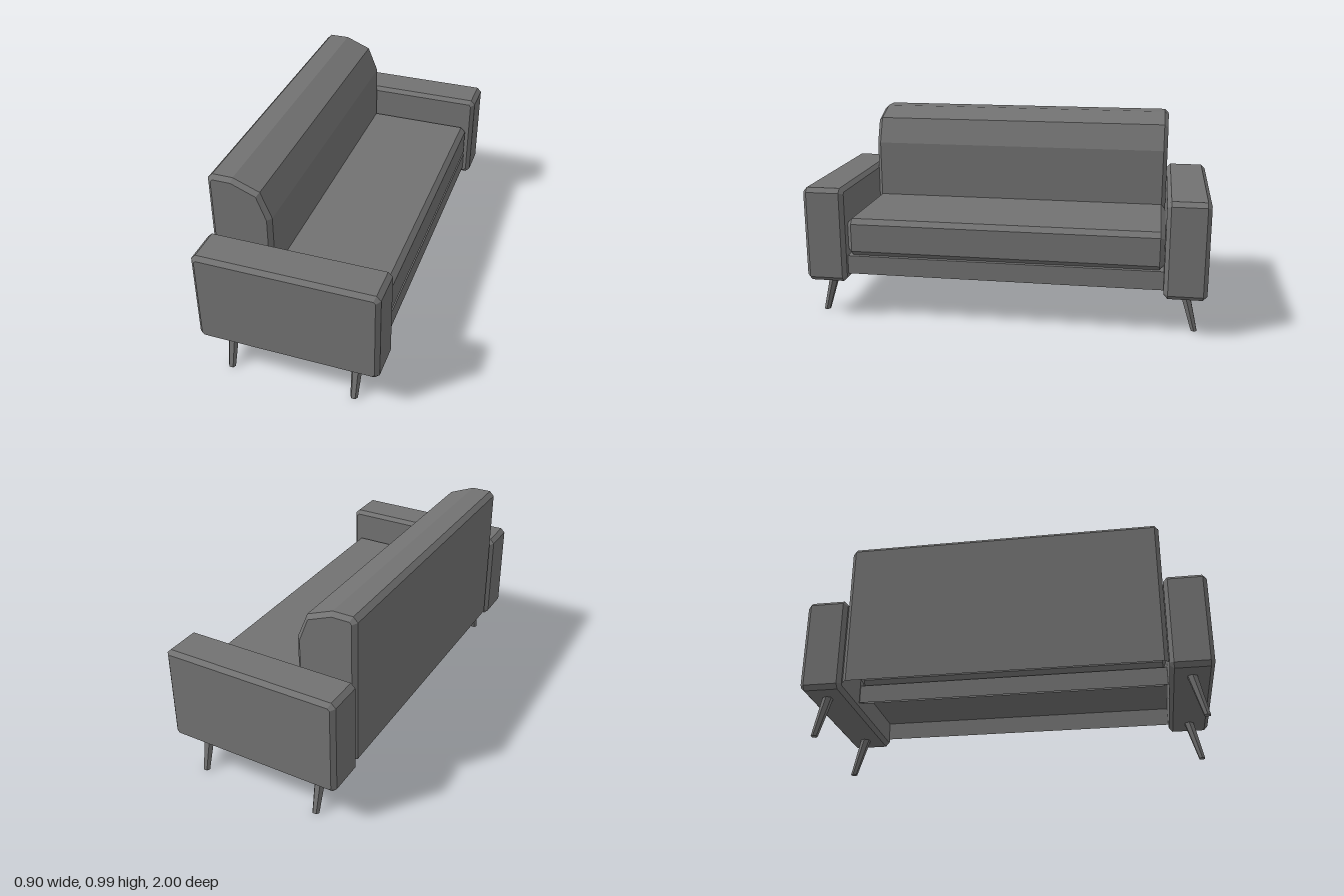
import * as THREE from 'three';

const fabric = new THREE.MeshStandardMaterial({ color: 0x727272, side: THREE.DoubleSide });
fabric.name = 'grey';

// Box with chamfered edges, drawn in the x-y plane and extruded along z.
function chamferedBox(x0, x1, y0, y1, depth, c) {
  const s = new THREE.Shape();
  s.moveTo(x0 + c, y0);
  s.lineTo(x1 - c, y0);
  s.lineTo(x1, y0 + c);
  s.lineTo(x1, y1 - c);
  s.lineTo(x1 - c, y1);
  s.lineTo(x0 + c, y1);
  s.lineTo(x0, y1 - c);
  s.lineTo(x0, y0 + c);
  s.closePath();
  const b = c * 0.9;
  const g = new THREE.ExtrudeGeometry(s, {
    depth: depth - 2 * b, bevelEnabled: true, bevelSegments: 1,
    bevelThickness: b, bevelSize: b, bevelOffset: -b,
  });
  return g.translate(0, 0, b - depth / 2);
}

// Shell open at the bottom: sections [z, profile] joined in order, with end caps.
// Each profile runs up the rear, over the top and down the front.
function openShell(sections) {
  const pos = [];
  const tri = (...pts) => pts.forEach(([p, z]) => pos.push(p[0], p[1], z));
  for (let k = 0; k + 1 < sections.length; k++) {
    const [z0, p0] = sections[k], [z1, p1] = sections[k + 1];
    for (let i = 0; i + 1 < p0.length; i++) {
      tri([p0[i], z0], [p1[i + 1], z1], [p0[i + 1], z0]);
      tri([p0[i], z0], [p1[i], z1], [p1[i + 1], z1]);
    }
  }
  const [za, a] = sections[0], [zb, b] = sections[sections.length - 1];
  for (let i = 1; i + 1 < a.length; i++) {
    tri([a[0], za], [a[i], za], [a[i + 1], za]);
    tri([b[0], zb], [b[i + 1], zb], [b[i], zb]);
  }
  const g = new THREE.BufferGeometry();
  g.setAttribute('position', new THREE.Float32BufferAttribute(pos, 3));
  g.computeVertexNormals();
  return g;
}

export function createModel() {
  const sofa = new THREE.Group();
  sofa.name = 'sofa';
  const add = (name, geometry) => {
    const m = new THREE.Mesh(geometry, fabric);
    m.name = name;
    sofa.add(m);
    return m;
  };

  // Arms
  for (const side of [-1, 1]) {
    add('arm', chamferedBox(-0.448, 0.448, 0.198, 0.683, 0.208, 0.022)).position.z = side * 0.896;
  }

  // Backrest with a sloping top
  const outer = [[-0.438, 0.235], [-0.438, 0.967], [-0.415, 0.991], [-0.315, 0.991],
    [-0.187, 0.94], [-0.134, 0.81], [-0.134, 0.235]];
  const inner = [[-0.418, 0.235], [-0.418, 0.96], [-0.407, 0.972], [-0.319, 0.972],
    [-0.2, 0.924], [-0.154, 0.805], [-0.154, 0.235]];
  add('backrest', openShell([[-0.79, inner], [-0.77, outer], [0.77, outer], [0.79, inner]]));

  // Seat cushion, and the base with its front rail, open underneath
  add('seatCushion', chamferedBox(-0.165, 0.412, 0.329, 0.52, 1.582, 0.025));
  const rail = [[-0.152, 0.235], [-0.152, 0.329], [0.41, 0.329], [0.41, 0.235]];
  add('base', openShell([[-0.791, rail], [0.791, rail]]));

  // Six-sided tapered legs splayed towards the ends
  for (const side of [-1, 1]) {
    for (const x of [-0.315, 0.315]) {
      const g = new THREE.CylinderGeometry(0.0295, 0.0185, 0.21, 6).toNonIndexed();
      g.rotateY(Math.PI / 6).translate(0, 0.105, 0);
      const p = g.attributes.position;
      for (let i = 0; i < p.count; i++) {
        p.setZ(i, p.getZ(i) * 0.9 + side * (0.95 - 0.265 * p.getY(i)));
      }
      g.computeVertexNormals();
      add('leg', g).position.x = x;
    }
  }
  return sofa;
}
